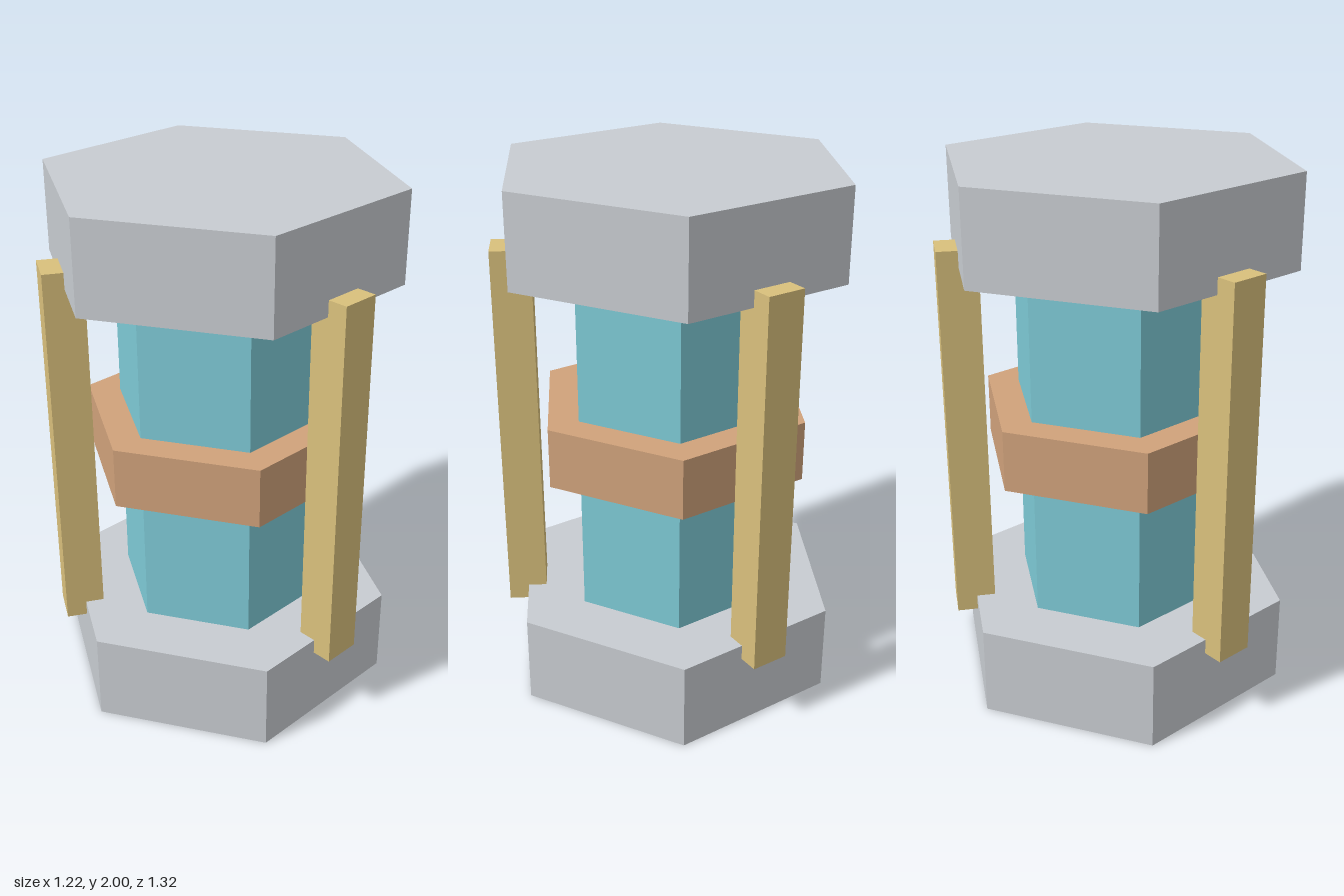
import * as THREE from 'three';

const material = (name, color) => {
  const m = new THREE.MeshStandardMaterial({ color });
  m.name = name;
  return m;
};

export function createModel() {
  const steel = material('steel grey', 0xc8ccd1);
  const glass = material('pale teal', 0x7ecad6);
  const copper = material('copper', 0xd0a27b);
  const brass = material('brass', 0xd9c07c);

  const model = new THREE.Group();
  model.name = 'hexCanister';
  const body = new THREE.Group();
  body.name = 'body';
  body.position.x = -0.04; // offset so the three-rod outline is centred
  model.add(body);

  // Six-sided prism with corners on the z axis
  const hexPrism = (name, radius, bottom, top, mat) => {
    const geometry = new THREE.CylinderGeometry(radius, radius, top - bottom, 6).toNonIndexed();
    geometry.computeVertexNormals(); // flat facets
    const mesh = new THREE.Mesh(geometry, mat);
    mesh.name = name;
    mesh.position.y = (top + bottom) / 2;
    body.add(mesh);
  };

  hexPrism('bottomCap', 0.658, 0, 0.343, steel);
  hexPrism('topCap', 0.658, 1.66, 2, steel);
  hexPrism('core', 0.405, 0.343, 1.66, glass);
  hexPrism('middleBand', 0.533, 0.888, 1.118, copper);

  // Three square rods set into the cap sides
  const rodGeometry = new THREE.BoxGeometry(0.145, 1.435, 0.145);
  for (let i = 0; i < 3; i++) {
    const angle = (i * Math.PI * 2) / 3;
    const rod = new THREE.Mesh(rodGeometry, brass);
    rod.name = `rod${i + 1}`;
    rod.position.set(0.573 * Math.cos(angle), 1.002, 0.573 * Math.sin(angle));
    rod.rotation.y = -angle;
    body.add(rod);
  }

  return model;
}
